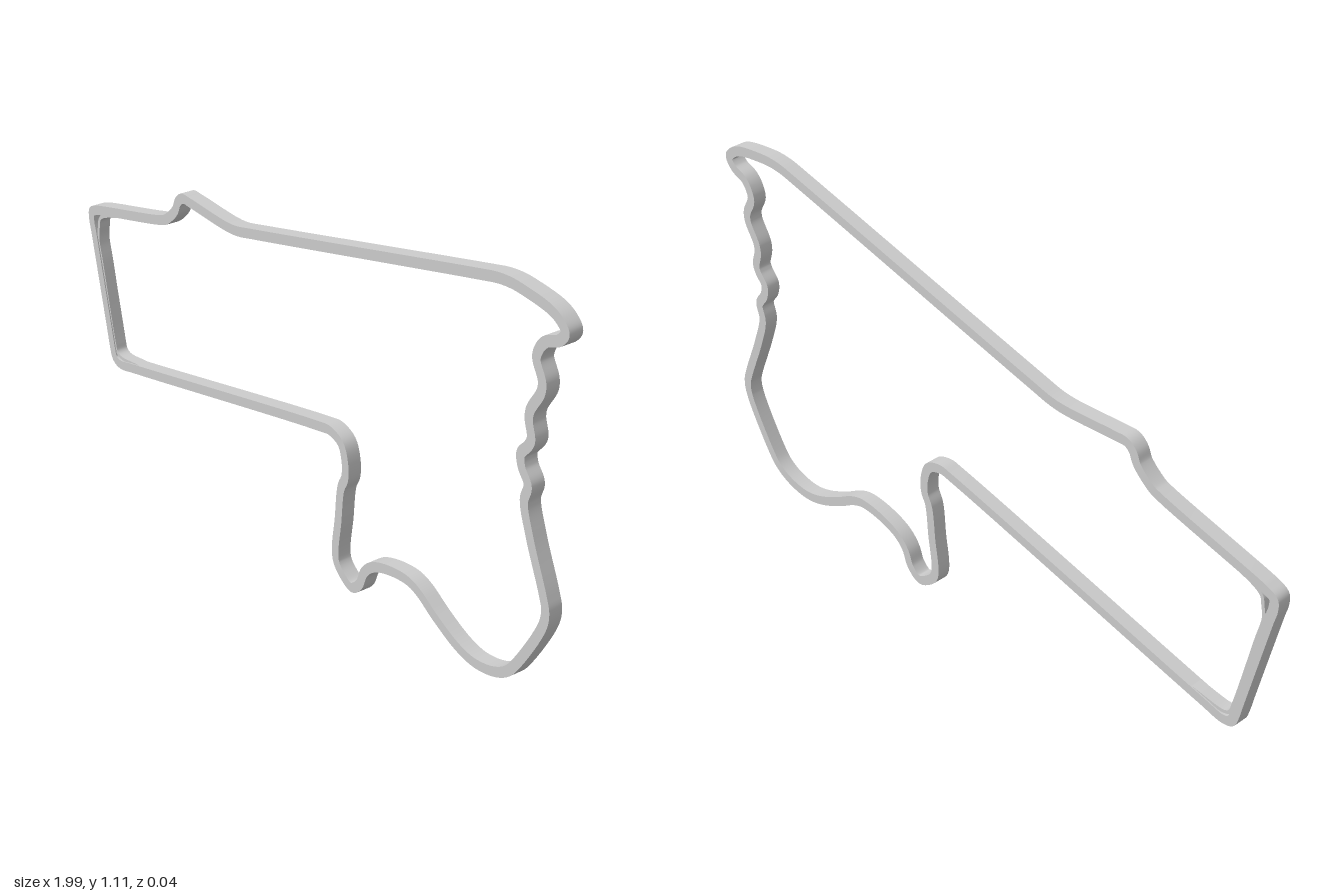
import * as THREE from 'three';

// Centreline of the circuit, clockwise from the upper left corner
const circuit = [
  [-0.984, 0.633], [-0.982, 0.657], [-0.957, 0.67], [-0.931, 0.678],
  [-0.621, 0.756], [-0.594, 0.767], [-0.546, 0.809], [-0.53, 0.841], [-0.509, 0.857], [-0.472, 0.857],
  [-0.311, 0.848], [-0.258, 0.851], [-0.178, 0.869],
  [0.703, 1.082], [0.757, 1.094], [0.8, 1.098], [0.842, 1.096], [0.933, 1.082], [0.965, 1.066],
  [0.982, 1.045], [0.965, 1.02], [0.925, 1.002], [0.906, 0.981], [0.896, 0.949], [0.918, 0.901],
  [0.917, 0.874], [0.885, 0.815], [0.882, 0.789], [0.893, 0.745], [0.885, 0.724], [0.861, 0.692],
  [0.866, 0.66], [0.89, 0.622], [0.88, 0.575], [0.906, 0.49], [0.96, 0.361], [0.971, 0.324],
  [0.965, 0.281], [0.88, 0.126], [0.848, 0.088], [0.8, 0.062], [0.73, 0.05], [0.666, 0.062],
  [0.58, 0.102], [0.517, 0.139], [0.474, 0.152], [0.394, 0.144], [0.33, 0.12], [0.297, 0.088],
  [0.276, 0.04], [0.244, 0.015], [0.21, 0.029], [0.177, 0.067], [0.186, 0.195], [0.196, 0.291],
  [0.212, 0.329], [0.211, 0.377], [0.193, 0.42], [0.148, 0.438], [0.105, 0.432],
  [-0.792, 0.23], [-0.862, 0.216], [-0.888, 0.225], [-0.899, 0.254], [-0.908, 0.295], [-0.974, 0.59],
];

// Narrow lane just inside the left end, merging with the circuit at both ends
const lane = [
  [-0.75, 0.722], [-0.83, 0.694], [-0.925, 0.661], [-0.945, 0.645], [-0.951, 0.62], [-0.956, 0.585],
  [-0.94, 0.51], [-0.889, 0.275], [-0.88, 0.248], [-0.86, 0.238], [-0.78, 0.245], [-0.7, 0.253],
];

// Sweeps a rectangular section along a flat path; every face has its own vertices for sharp edges
function band(points, closed, width, depth) {
  const curve = new THREE.CatmullRomCurve3(points.map(([x, y]) => new THREE.Vector3(x, y, 0)), closed);
  const path = curve.getPoints(points.length * 8);
  if (closed) path.pop();
  const n = path.length;
  const at = (i) => path[closed ? (i + n) % n : THREE.MathUtils.clamp(i, 0, n - 1)];
  const w = width / 2, d = depth / 2;
  const corners = [[w, d], [w, -d], [-w, -d], [-w, d]]; // outward offset, z
  const position = [], index = [];
  for (let f = 0; f < 4; f++) {
    const base = position.length / 3;
    for (let i = 0; i < n; i++) {
      const t = at(i + 1).clone().sub(at(i - 1)).normalize();
      for (const [o, z] of [corners[f], corners[(f + 1) % 4]]) {
        position.push(path[i].x - t.y * o, path[i].y + t.x * o, z);
      }
    }
    for (let i = 0; i < (closed ? n : n - 1); i++) {
      const a = base + i * 2, b = base + ((i + 1) % n) * 2;
      index.push(a, b, a + 1, b, b + 1, a + 1);
    }
  }
  const geometry = new THREE.BufferGeometry();
  geometry.setAttribute('position', new THREE.Float32BufferAttribute(position, 3));
  geometry.setIndex(index);
  geometry.computeVertexNormals();
  return geometry;
}

export function createModel() {
  const group = new THREE.Group();
  group.name = 'circuitOutline';
  const material = new THREE.MeshStandardMaterial({ color: 0xcccccc, side: THREE.DoubleSide });
  const add = (name, geometry) => {
    const mesh = new THREE.Mesh(geometry, material);
    mesh.name = name;
    group.add(mesh);
  };
  add('mainTrack', band(circuit, true, 0.028, 0.04));
  add('sideLane', band(lane, false, 0.01, 0.034));
  return group;
}
